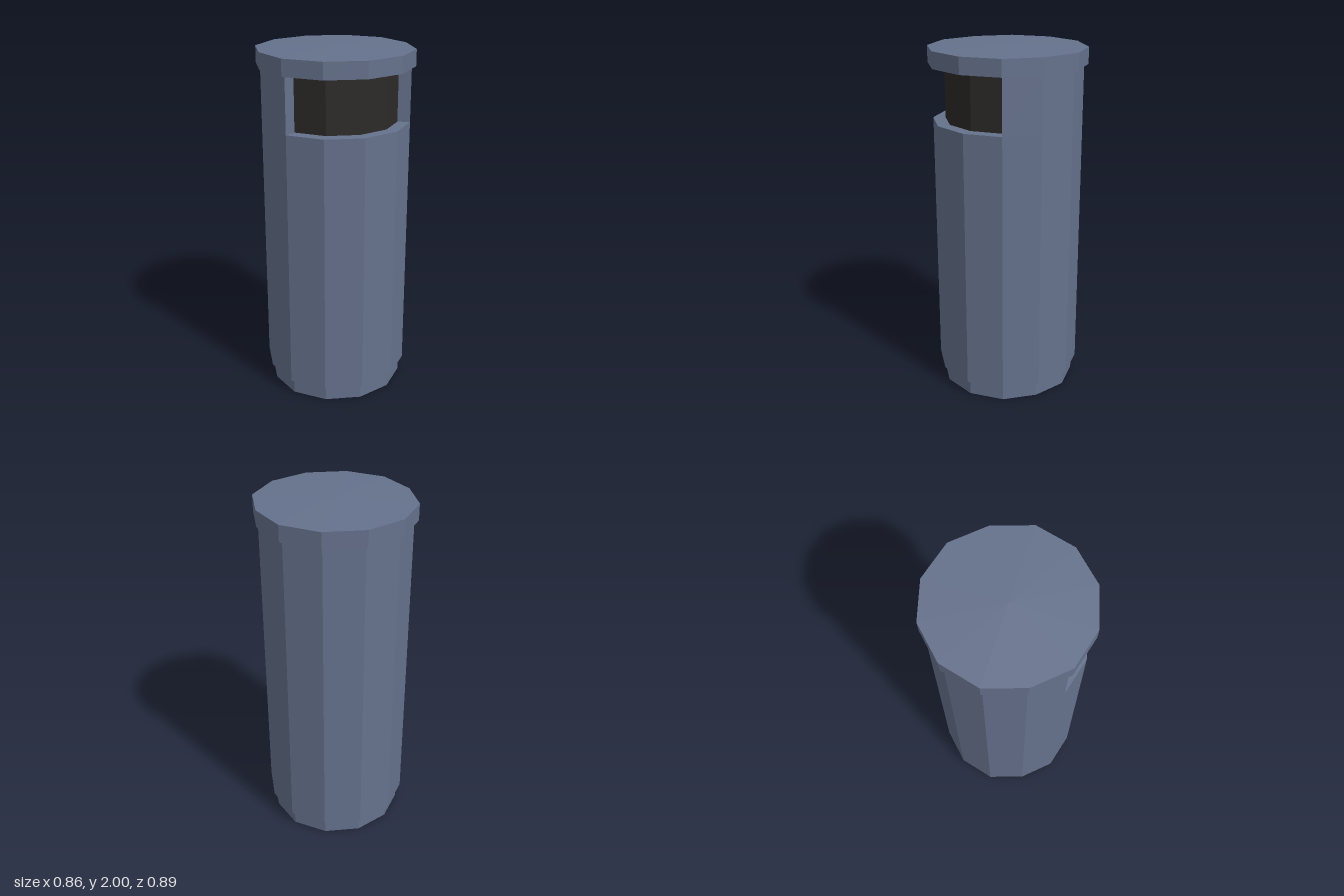
import * as THREE from 'three';

const SIDES = 12;

export function createModel() {
  const group = new THREE.Group();
  const steel = new THREE.MeshStandardMaterial({ color: 0x65718c, flatShading: true });
  steel.name = 'blue grey steel';
  const dark = new THREE.MeshStandardMaterial({ color: 0x2b2a28, flatShading: true });
  dark.name = 'dark interior';

  // Twelve-sided drum section; its two outermost side corners are pulled in slightly
  function drum(name, rTop, rBottom, y0, y1, material, open = false, segments = SIDES, start = 0) {
    const geo = new THREE.CylinderGeometry(rTop, rBottom, y1 - y0, segments, 1, open,
      start, (segments / SIDES) * Math.PI * 2);
    const pos = geo.attributes.position;
    for (let i = 0; i < pos.count; i++) {
      const x = pos.getX(i);
      if (Math.abs(x) > 0.1 && Math.abs(pos.getZ(i)) < 1e-4) pos.setX(i, x * 0.975);
    }
    geo.computeVertexNormals();
    const mesh = new THREE.Mesh(geo, material);
    mesh.name = name;
    mesh.position.y = (y0 + y1) / 2;
    group.add(mesh);
  }

  const R = 0.42, INNER = 0.35, SLOT_LOW = 1.585, SLOT_TOP = 1.895;

  drum('basePlinth', 0.395, 0.395, 0, 0.09, steel);
  drum('body', R, R, 0.09, SLOT_LOW, steel);

  // Wall around the opening: eight sides of the drum, the front four left out
  drum('upperWall', R, R, SLOT_LOW, SLOT_TOP, steel, true, 8, Math.PI / 3);
  drum('openingPanel', INNER, INNER, SLOT_LOW, SLOT_TOP, dark, true, 4, -Math.PI / 3);

  // Radial end faces of the wall on both sides of the opening
  for (const side of [1, -1]) {
    const jamb = new THREE.Mesh(new THREE.PlaneGeometry(R - INNER, SLOT_TOP - SLOT_LOW), steel);
    jamb.name = side > 0 ? 'leftJamb' : 'rightJamb';
    const mid = (R + INNER) / 2;
    jamb.position.set(side * mid * Math.sin(Math.PI / 3), (SLOT_LOW + SLOT_TOP) / 2, mid * 0.5);
    jamb.rotation.y = -side * Math.PI / 6;
    group.add(jamb);
  }

  // Overhanging lid with a very shallow peak
  drum('lidRim', 0.443, 0.443, SLOT_TOP, 1.988, steel);
  drum('lidTop', 0, 0.443, 1.988, 2, steel, true);

  return group;
}
